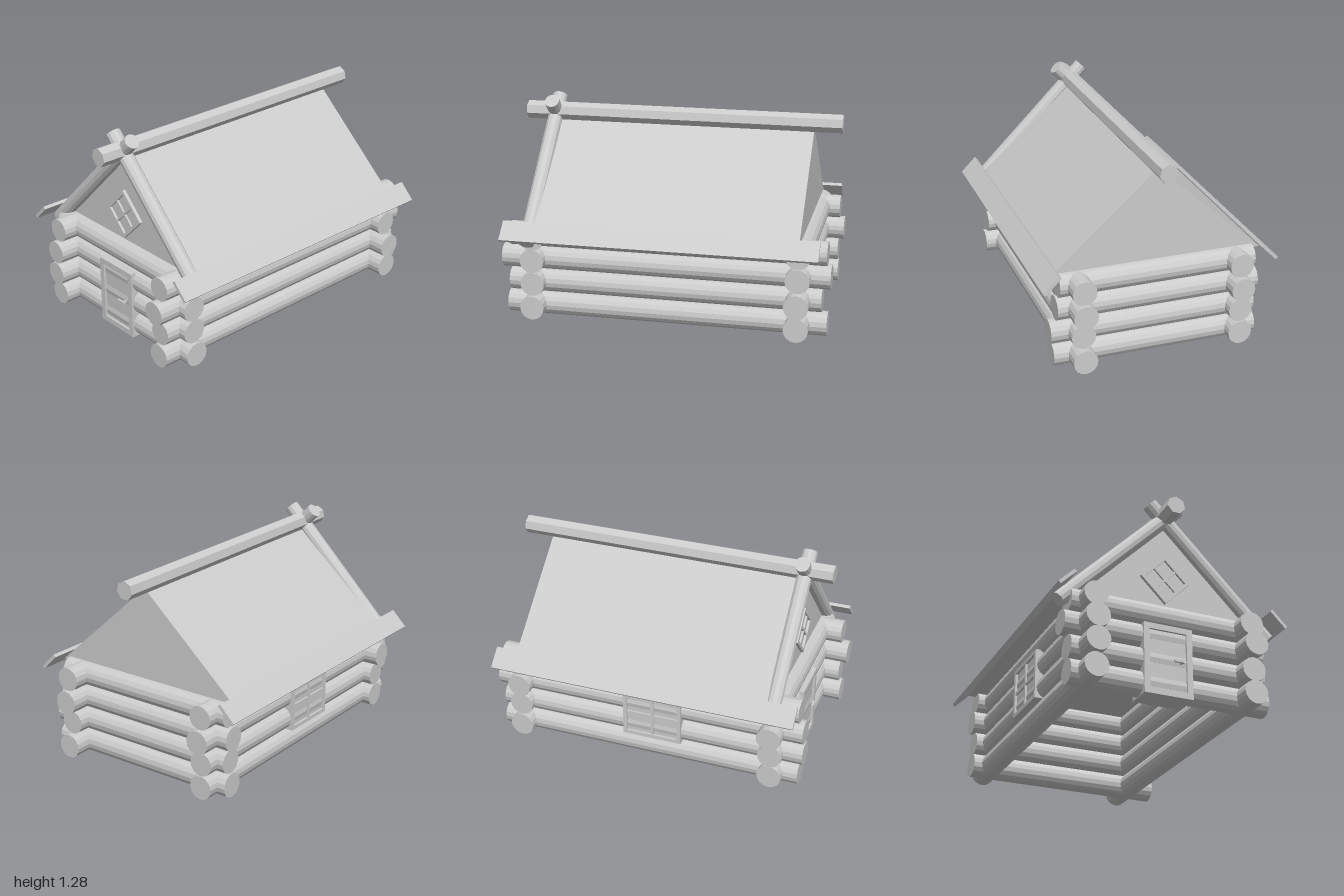
import * as THREE from 'three';

const timber = new THREE.MeshStandardMaterial({ color: 0xcccccc, flatShading: true });
timber.name = 'pale timber';

export function createModel() {
  const cabin = new THREE.Group();
  cabin.name = 'logCabin';

  const add = (parent, name, geometry, x = 0, y = 0, z = 0) => {
    const mesh = new THREE.Mesh(geometry, timber);
    mesh.name = name;
    mesh.position.set(x, y, z);
    parent.add(mesh);
    return mesh;
  };
  const box = (parent, name, w, h, d, x, y, z) =>
    add(parent, name, new THREE.BoxGeometry(w, h, d), x, y, z);

  // A round log running between two points
  const log = (name, from, to, radius, sides) => {
    const a = new THREE.Vector3(...from), b = new THREE.Vector3(...to);
    const mesh = add(cabin, name, new THREE.CylinderGeometry(radius, radius, a.distanceTo(b), sides));
    mesh.position.copy(a).add(b).multiplyScalar(0.5);
    mesh.quaternion.setFromUnitVectors(new THREE.Vector3(0, 1, 0), b.sub(a).normalize());
    return mesh;
  };

  // Log walls: uneven end positions, bottom course first
  const levels = [0.079, 0.225, 0.37, 0.512];
  const frontEnds = [[-0.97, 0.985], [-0.955, 0.95], [-1, 1], [-0.955, 0.975]];
  const backEnds = [[-0.96, 0.95], [-0.985, 0.945], [-0.98, 0.98], [-0.95, 0.95]];
  const leftEnds = [[-0.61, 0.642], [-0.6, 0.657], [-0.62, 0.615], [-0.6, 0.6]];
  const rightEnds = [[-0.6, 0.62], [-0.6, 0.6], [-0.64, 0.6], [-0.6, 0.6]];
  levels.forEach((y, i) => {
    for (const [name, ends, z] of [['frontWallLog', frontEnds, 0.483], ['backWallLog', backEnds, -0.487]])
      log(name, [ends[i][0], y, z], [ends[i][1], y, z], 0.073, 16);
    for (const [name, ends, x] of [['leftWallLog', leftEnds, 0.813], ['rightWallLog', rightEnds, -0.797]])
      log(name, [x, y, ends[i][0]], [x, y, ends[i][1]], 0.074, 16);
  });

  // Solid gabled roof, extruded along x
  const gable = new THREE.Shape([
    new THREE.Vector2(-0.65, 0.56), new THREE.Vector2(0.65, 0.56), new THREE.Vector2(0, 1.14),
  ]);
  const roof = new THREE.ExtrudeGeometry(gable, { depth: 1.62, bevelEnabled: false });
  roof.rotateY(Math.PI / 2);
  add(cabin, 'roof', roof, -0.8, 0, 0);

  // Seven-sided ridge log with a corner pointing up
  const ridge = new THREE.CylinderGeometry(0.057, 0.057, 1.975, 7);
  ridge.rotateY(Math.PI / 2).rotateZ(Math.PI / 2);
  add(cabin, 'ridgeLog', ridge, 0.005, 1.172, 0);

  // Crossed rake logs and eave boards on both slopes
  for (const side of [1, -1]) {
    log('rakeLog', [-0.805, 0.5, side * 0.66], [-0.805, 1.25, side * -0.088], 0.046, 12);
    const board = box(cabin, 'eaveBoard', 1.9, 0.02, 0.133, -0.008, 0.574, side * 0.662);
    board.rotation.x = side * Math.PI / 4;
  }

  // Rectangular frame with optional crossbars, facing +z
  const framed = (name, w, h, depth, bar, cross) => {
    const group = new THREE.Group();
    group.name = name;
    box(group, 'panel', w - bar, h - bar, depth, 0, 0, -depth / 2 - 0.015);
    for (const s of [-1, 1]) {
      box(group, 'framePost', bar, h, depth, s * (w - bar) / 2, 0, -depth / 2);
      box(group, 'frameRail', w - 2 * bar, bar, depth, 0, s * (h - bar) / 2, -depth / 2);
    }
    if (cross) {
      box(group, 'uprightBar', bar * 0.7, h - 2 * bar, 0.02, 0, 0, -0.013);
      box(group, 'crossBar', w - 2 * bar, bar * 0.7, 0.02, 0, 0, -0.013);
    }
    cabin.add(group);
    return group;
  };

  // Window in the back wall
  const window = framed('backWindow', 0.37, 0.31, 0.16, 0.024, true);
  window.position.set(-0.045, 0.31, -0.57);
  window.rotation.y = Math.PI;

  // Door in the right end with a lever handle
  const door = framed('door', 0.3, 0.43, 0.16, 0.035, false);
  door.position.set(-0.88, 0.217, -0.02);
  door.rotation.y = -Math.PI / 2;
  box(door, 'handleStem', 0.014, 0.014, 0.03, 0.08, 0, -0.005);
  box(door, 'handleLever', 0.06, 0.014, 0.012, 0.06, 0, 0.012);

  // Diamond window in the right gable
  const diamond = framed('gableWindow', 0.22, 0.22, 0.05, 0.02, true);
  diamond.position.set(-0.82, 0.76, 0);
  diamond.rotation.set(0, -Math.PI / 2, Math.PI / 4);

  return cabin;
}
